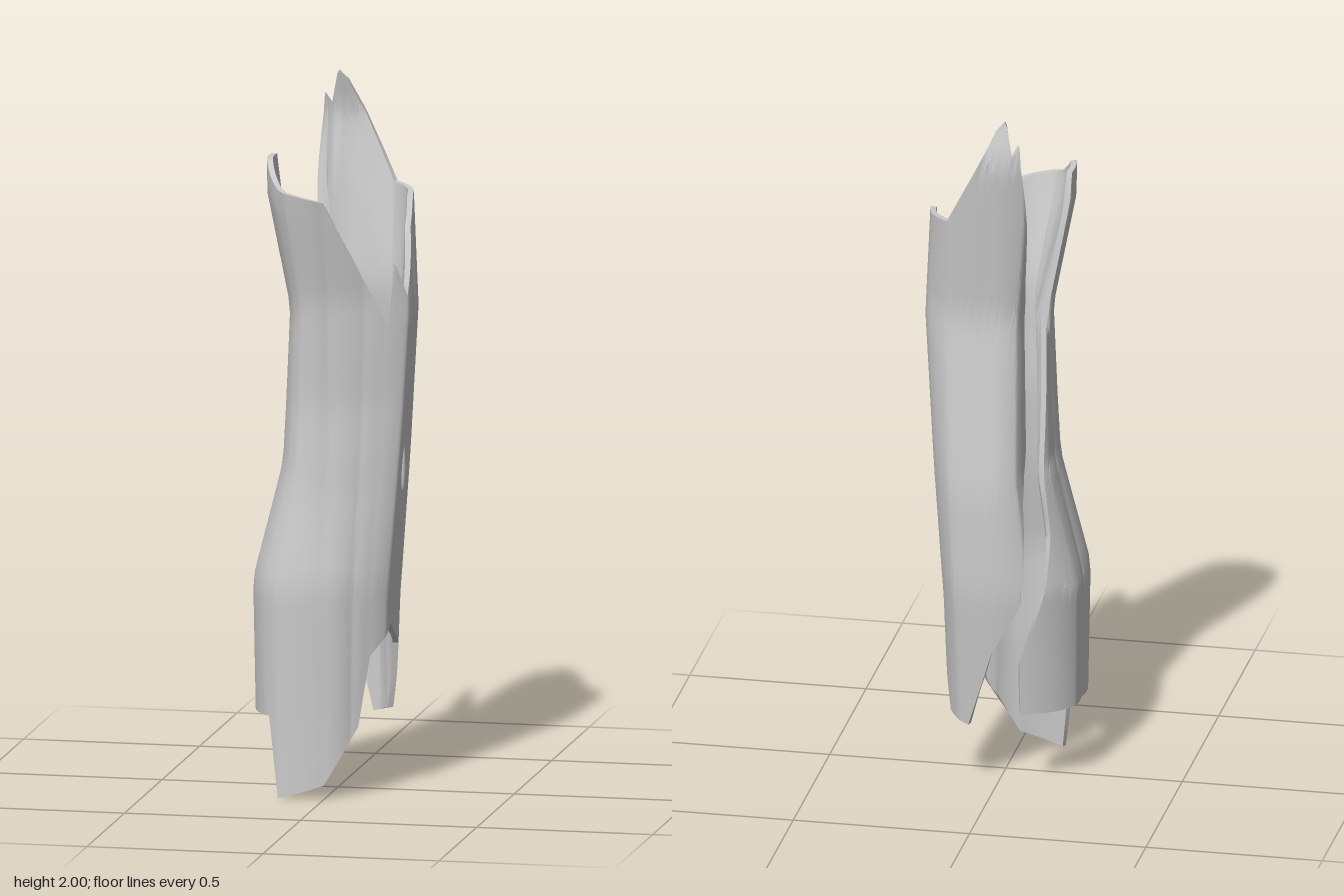
import * as THREE from 'three';
import { toCreasedNormals } from 'three/addons/utils/BufferGeometryUtils.js';

// Straight-line lookup through [key, value] points
function sample(points, key) {
  const next = points.findIndex((p) => p[0] >= key);
  if (next === 0) return points[0][1];
  if (next < 0) return points[points.length - 1][1];
  const [k0, v0] = points[next - 1], [k1, v1] = points[next];
  return THREE.MathUtils.mapLinear(key, k0, k1, v0, v1);
}

// Outer reach of the trunk on its four sides, by height
const right = [[0.2, 0.15], [0.55, 0.16], [1, 0.193], [1.37, 0.217], [1.7, 0.2]];
const left = [[0.2, 0.213], [0.6, 0.22], [0.93, 0.14], [1.37, 0.12], [1.7, 0.18]];
const front = [[0.2, 0.195], [0.6, 0.203], [0.85, 0.165], [1.1, 0.145], [1.4, 0.155], [1.7, 0.21]];
const back = [[0.2, 0.17], [0.6, 0.214], [0.9, 0.208], [1.4, 0.142], [1.88, 0.2], [2, 0.165]];

// Around the trunk, by angle from +x toward +z: the wall starts as a curled-in
// flap at the split and ends on the other side of it, just over a turn later
const START = 220, END = 610, STEP = 2;
const bulge = [[220, 0.72], [231, 0.86], [242, 1], [280, 1.03], [306, 1.14], [330, 1.1], [360, 1], [384, 1.08],
  [403, 0.98], [420, 0.93], [450, 1], [480, 1.2], [492, 1.19], [512, 1.12], [540, 1], [560, 1.05], [610, 1.02]];
const bottomEdge = [[220, 1], [236, 0.86], [248, 0.57], [270, 0.42], [296, 0.19], [322, 0.21], [338, 0.4], [374, 0.48],
  [400, 0.4], [412, 0.2], [450, 0.04], [480, 0], [488, 0.23]];
const topEdge = [[220, 1.35], [232, 1.5], [246, 1.93], [252, 1.9], [259, 2], [268, 1.97], [306, 1.69], [348, 1.68],
  [384, 1.41], [392, 1.5], [400, 1.32], [450, 1.69], [486, 1.72], [512, 1.79], [535, 1.79], [547, 1.5], [576, 0.76], [610, 0.38]];

// Point on the bark
function surface(angle, y) {
  const t = THREE.MathUtils.degToRad(angle), c = Math.cos(t), s = Math.sin(t);
  const k = sample(bulge, angle);
  return new THREE.Vector3(
    c * k * sample(c > 0 ? right : left, y), y,
    s * k * sample(s > 0 ? front : back, y));
}

// Same point moved into the hollow by the wall thickness
function innerSurface(angle, y, thickness) {
  const d = surface(angle + 4, y).sub(surface(angle - 4, y)).normalize();
  return surface(angle, y).add(new THREE.Vector3(-d.z, 0, d.x).multiplyScalar(thickness));
}

function createShell() {
  const columns = (END - START) / STEP, rows = 32;
  const positions = [], index = [];
  for (const inner of [false, true]) {
    for (let i = 0; i <= columns; i++) {
      const angle = START + i * STEP;
      for (let j = 0; j <= rows; j++) {
        const f = j / rows;
        const y = THREE.MathUtils.lerp(sample(bottomEdge, angle), sample(topEdge, angle), f);
        const wall = 0.016 + 0.018 * Math.min(1, 6 * f, 6 * (1 - f));
        const p = inner ? innerSurface(angle, y, wall) : surface(angle, y);
        positions.push(p.x, p.y, p.z);
      }
    }
  }
  const id = (i, j) => i * (rows + 1) + j;
  const offset = id(columns + 1, 0);

  // Outer and inner skins
  for (let i = 0; i < columns; i++) {
    for (let j = 0; j < rows; j++) {
      const a = id(i, j), b = id(i, j + 1), c = id(i + 1, j), d = id(i + 1, j + 1);
      index.push(a, b, c, c, b, d);
      index.push(a + offset, c + offset, b + offset, c + offset, d + offset, b + offset);
    }
  }

  // Broken rim joining both skins
  const rim = [];
  for (let i = 0; i < columns; i++) rim.push(id(i, 0));
  for (let j = 0; j < rows; j++) rim.push(id(columns, j));
  for (let i = columns; i > 0; i--) rim.push(id(i, rows));
  for (let j = rows; j > 0; j--) rim.push(id(0, j));
  rim.forEach((p, i) => {
    const q = rim[(i + 1) % rim.length];
    index.push(p, q, p + offset, q, q + offset, p + offset);
  });

  const geometry = new THREE.BufferGeometry();
  geometry.setAttribute('position', new THREE.Float32BufferAttribute(positions, 3));
  geometry.setIndex(index);
  return toCreasedNormals(geometry, 0.7);
}

export function createModel() {
  const group = new THREE.Group();
  group.name = 'hollowLog';
  const material = new THREE.MeshStandardMaterial({ color: 0xcccccc, side: THREE.DoubleSide });

  const shell = new THREE.Mesh(createShell(), material);
  shell.name = 'splitBarkShell';
  group.add(shell);

  // Small knot on the side of the trunk
  const knot = new THREE.Mesh(new THREE.SphereGeometry(1, 10, 8), material);
  knot.name = 'barkKnot';
  knot.scale.set(0.008, 0.07, 0.012);
  knot.position.copy(surface(370, 0.92));
  group.add(knot);

  return group;
}
